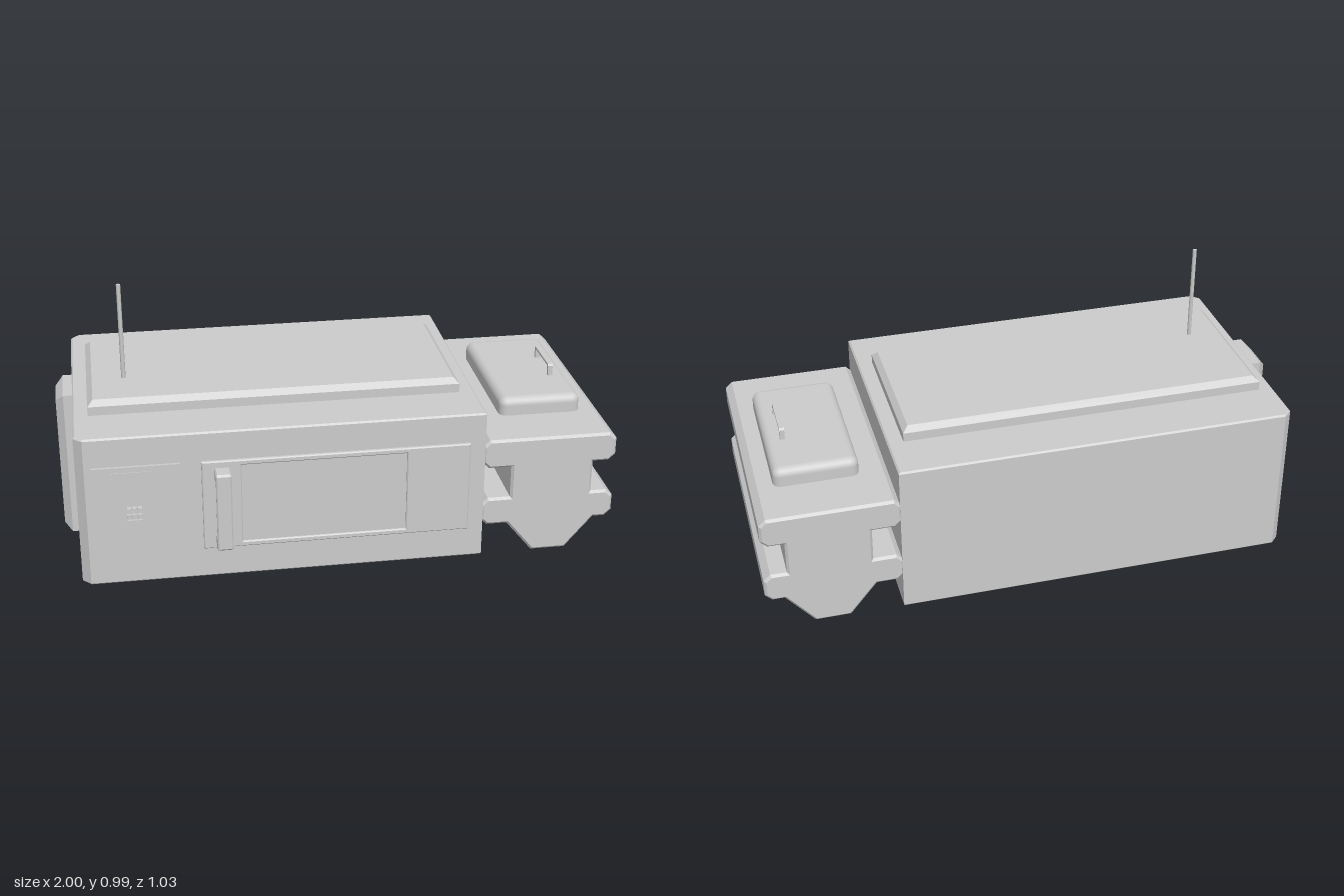
import * as THREE from 'three';
import { RoundedBoxGeometry } from 'three/addons/geometries/RoundedBoxGeometry.js';

const material = new THREE.MeshStandardMaterial({ color: 0xcccccc });

function polygon(points) {
  return new THREE.Shape(points.map(([x, y]) => new THREE.Vector2(x, y)));
}

function rect(x0, x1, y0, y1) {
  return polygon([[x0, y0], [x1, y0], [x1, y1], [x0, y1]]);
}

// Extrudes a shape from 0 to depth along z, chamfering its end edges inwards.
function slab(shape, depth, chamfer = 0) {
  const geometry = new THREE.ExtrudeGeometry(shape, {
    depth: depth - 2 * chamfer,
    bevelEnabled: chamfer > 0,
    bevelSegments: 1,
    bevelSize: chamfer,
    bevelThickness: chamfer,
    bevelOffset: -chamfer,
  });
  return geometry.translate(0, 0, chamfer);
}

export function createModel() {
  const group = new THREE.Group();

  function add(name, geometry, parent = group) {
    const mesh = new THREE.Mesh(geometry, material);
    mesh.name = name;
    parent.add(mesh);
    return mesh;
  }

  function box(name, x0, x1, y0, y1, z0, z1, parent = group) {
    const geometry = new THREE.BoxGeometry(x1 - x0, y1 - y0, z1 - z0);
    geometry.translate((x0 + x1) / 2, (y0 + y1) / 2, (z0 + z1) / 2);
    return add(name, geometry, parent);
  }

  // Main body: plan outline (x, -z) with chamfered corners at the far end
  const plan = polygon([
    [-0.91, -0.44], [0.512, -0.44], [0.512, 0.515],
    [-0.91, 0.515], [-0.94, 0.485], [-0.94, -0.41],
  ]);
  add('body', slab(plan, 0.575, 0.006).rotateX(-Math.PI / 2));

  // Raised roof panel, its lower chamfer sunk in the body
  add('roofPanel', slab(rect(-0.885, 0.455, -0.247, 0.325), 0.09, 0.02)
    .rotateX(-Math.PI / 2).translate(0, 0.538, 0));

  add('antenna', new THREE.CylinderGeometry(0.008, 0.008, 0.37, 8)
    .translate(-0.75, 0.803, 0.05));

  // Vertical post on the end wall
  add('endPost', slab(rect(-0.053, 0.135, 0.008, 0.57), 0.12, 0.028)
    .rotateY(Math.PI / 2).translate(-1, 0, 0));

  // Control panel with screen and keypad
  const controls = new THREE.Group();
  controls.name = 'controlPanel';
  group.add(controls);
  box('panelPlate', -0.885, -0.58, 0.12, 0.465, 0.43, 0.45, controls);
  box('screen', -0.82, -0.68, 0.35, 0.445, 0.44, 0.453, controls);
  for (let row = 0; row < 3; row++) {
    for (let col = 0; col < 3; col++) {
      const x = -0.77 + col * 0.019;
      const y = 0.247 + row * 0.023;
      box('key', x, x + 0.015, y, y + 0.018, 0.44, 0.468, controls);
    }
  }

  // Door with an inset window
  const door = rect(-0.505, 0.455, 0.12, 0.465);
  door.holes.push(rect(-0.365, 0.225, 0.14, 0.445));
  add('door', slab(door, 0.023, 0.004).translate(0, 0, 0.43));
  box('doorWindow', -0.366, 0.226, 0.139, 0.446, 0.43, 0.445);

  // C-shaped door handle, drawn in (-z, y) and extruded along x
  const handle = polygon([
    [-0.44, 0.14], [-0.506, 0.14], [-0.513, 0.147], [-0.513, 0.433],
    [-0.506, 0.44], [-0.44, 0.44], [-0.44, 0.397], [-0.497, 0.397],
    [-0.497, 0.185], [-0.44, 0.185],
  ]);
  add('doorHandle', slab(handle, 0.056, 0.005)
    .rotateY(Math.PI / 2).translate(-0.461, 0, 0));

  // Side unit: two chamfered flanges, a waist and a tapered hopper below
  const profile = polygon([
    [0.72, 0.002], [0.83, 0.002], [0.932, 0.122], [0.975, 0.122],
    [1, 0.145], [1, 0.207], [0.975, 0.23], [0.917, 0.23],
    [0.917, 0.352], [0.975, 0.352], [1, 0.375], [1, 0.44],
    [0.975, 0.463], [0.53, 0.463], [0.506, 0.44], [0.506, 0.375],
    [0.53, 0.352], [0.613, 0.352], [0.613, 0.23], [0.53, 0.23],
    [0.506, 0.207], [0.506, 0.145], [0.53, 0.122], [0.605, 0.122],
    [0.703, 0.002],
  ]);
  add('sideUnit', slab(profile, 0.955, 0.009).translate(0, 0, -0.515));

  // Rounded lid and its bail handle
  add('lid', new RoundedBoxGeometry(0.305, 0.13, 0.567, 4, 0.03)
    .translate(0.767, 0.465, -0.042));
  const bail = polygon([
    [-0.055, 0.52], [-0.055, 0.568], [-0.048, 0.575], [0.123, 0.575],
    [0.13, 0.568], [0.13, 0.52], [0.117, 0.52], [0.117, 0.566],
    [-0.042, 0.566], [-0.042, 0.52],
  ]);
  add('lidHandle', slab(bail, 0.018).rotateY(Math.PI / 2).translate(0.846, 0, 0));

  return group;
}
